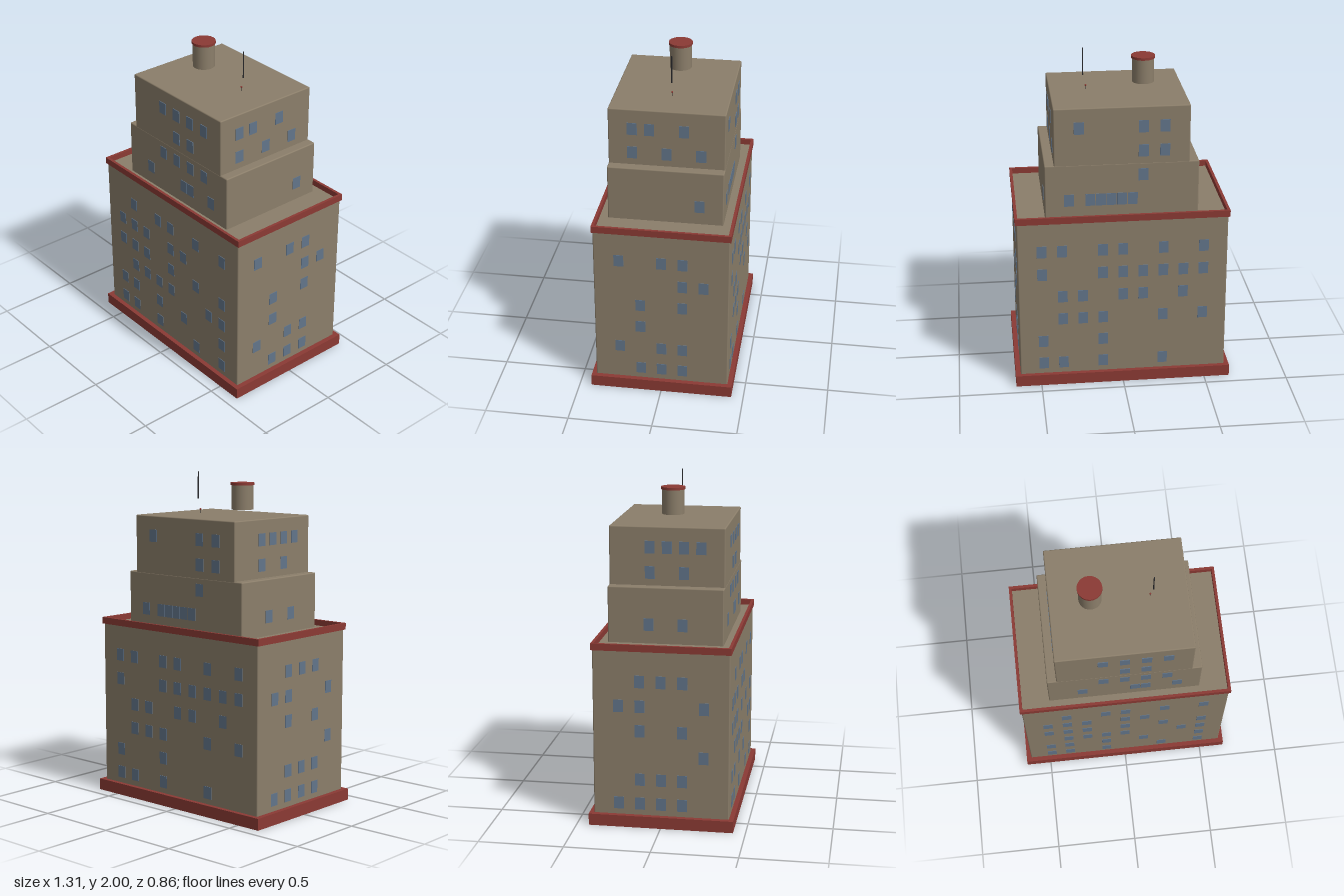
import * as THREE from 'three';
import { RoundedBoxGeometry } from 'three/addons/geometries/RoundedBoxGeometry.js';

const material = (name, color) => {
  const m = new THREE.MeshStandardMaterial({ color });
  m.name = name;
  return m;
};

export function createModel() {
  const stone = material('stone', 0x8b7e6a);
  const brick = material('redTrim', 0x8b3a34);
  const glass = material('windowGlass', 0x62758a);
  const metal = material('darkMetal', 0x2b2b2e);
  const model = new THREE.Group();
  model.name = 'building';

  const add = (name, geometry, mat, x, y, z, parent = model) => {
    const mesh = new THREE.Mesh(geometry, mat);
    mesh.name = name;
    mesh.position.set(x, y, z);
    parent.add(mesh);
    return mesh;
  };
  const block = (name, w, y0, y1, d) =>
    add(name, new RoundedBoxGeometry(w, y1 - y0, d, 2, 0.007), stone, 0, (y0 + y1) / 2, 0);

  // Plinth and stepped tiers
  add('plinth', new THREE.BoxGeometry(1.31, 0.07, 0.855), brick, 0, 0.035, 0);
  block('mainBody', 1.25, 0.06, 1.067, 0.8);
  block('middleTier', 0.906, 1.05, 1.4, 0.68);
  block('upperTier', 0.794, 1.38, 1.745, 0.678);

  // Parapet around the main roof
  const outline = (path, x, z) =>
    path.moveTo(-x, -z).lineTo(x, -z).lineTo(x, z).lineTo(-x, z).closePath();
  const rim = outline(new THREE.Shape(), 0.635, 0.407);
  rim.holes.push(outline(new THREE.Path(), 0.618, 0.39));
  const rimGeometry = new THREE.ExtrudeGeometry(rim, { depth: 0.04, bevelEnabled: false });
  rimGeometry.rotateX(-Math.PI / 2);
  add('parapet', rimGeometry, brick, 0, 1.062, 0);

  // Raised water tank with lid
  add('waterTank', new THREE.CylinderGeometry(0.066, 0.066, 0.145, 24), stone, -0.16, 1.8575, 0);
  add('tankLid', new THREE.CylinderGeometry(0.071, 0.071, 0.015, 24), brick, -0.16, 1.9375, 0);

  // Antenna and roof beacon
  add('antenna', new THREE.CylinderGeometry(0.003, 0.004, 0.165, 8), metal, 0.197, 1.9175, 0);
  add('beaconPost', new THREE.CylinderGeometry(0.002, 0.002, 0.03, 6), metal, 0.18, 1.755, 0);
  add('beaconLamp', new THREE.SphereGeometry(0.006, 8, 6), brick, 0.18, 1.77, 0);

  // Windows: each row lists column numbers, counted rightward as seen facing that wall
  const pane = new THREE.BoxGeometry(0.058, 0.074, 0.006);
  const addWindows = (name, turn, distance, spacing, y0, rows) => {
    const wall = new THREE.Group();
    wall.name = name;
    wall.rotation.y = turn;
    rows.forEach((columns, row) => columns.forEach((column) =>
      add('window', pane, glass, column * spacing, y0 + row * 0.1485, distance, wall)));
    model.add(wall);
  };
  const front = 0, right = Math.PI / 2, back = Math.PI, left = -Math.PI / 2;

  // Main body windows, bottom row first
  addWindows('frontBodyWindows', front, 0.4, 0.1205, 0.14, [
    [-4, -3, -1, 2, 4], [-4, -3, -1, 1, 4], [-3, -2, -1, 0, 3, 4],
    [-4, -3, -2, 0, 2, 4], [-4, -3, -2, 0, 1], [-3, -1, 0, 2, 4]]);
  addWindows('backBodyWindows', back, 0.4, 0.1205, 0.14, [
    [-4, -3, -1, 2], [-4, -1], [-3, -2, -1, 2, 4],
    [-3, -2, 0, 1, 3], [-4, -3, -1, 0, 1, 2, 3, 4].filter((c) => c !== -3), [-4, -3, -1, 0, 2, 4]]);
  addWindows('positiveXBodyWindows', right, 0.625, 0.125, 0.14, [
    [-1, 0, 1], [-2, 0, 1], [-1], [-1, 1], [1, 2], [-2, 0, 1]]);
  addWindows('negativeXBodyWindows', left, 0.625, 0.125, 0.14, [
    [-2, -1, 0, 1], [-1, 0, 1], [2], [-1, 1], [-2, -1, 2], [-1, 0, 1]]);

  // Tier windows: two rows on the middle tier, two on the upper one
  addWindows('frontTierWindows', front, 0.34, 0.0625, 1.18, [
    [-4, 1, 2, 5], [-2, 0, 2, 4], [0, 2], [-2, 0, 2, 4]]);
  addWindows('backTierWindows', back, 0.34, 0.0625, 1.18, [
    [-5, -3, -2, -1, 0, 1], [2], [2, 4], [-4, 2, 4]]);
  addWindows('positiveXMiddleWindows', right, 0.453, 0.1, 1.18, [[2]]);
  addWindows('positiveXUpperWindows', right, 0.397, 0.1, 1.4765, [[-2, 0, 2], [-2, -1, 1]]);
  addWindows('negativeXMiddleWindows', left, 0.453, 0.1, 1.18, [[-1, 1]]);
  addWindows('negativeXUpperWindows', left, 0.397, 0.1, 1.4765, [[-1, 1], [-1, 0, 1, 2]]);

  return model;
}
